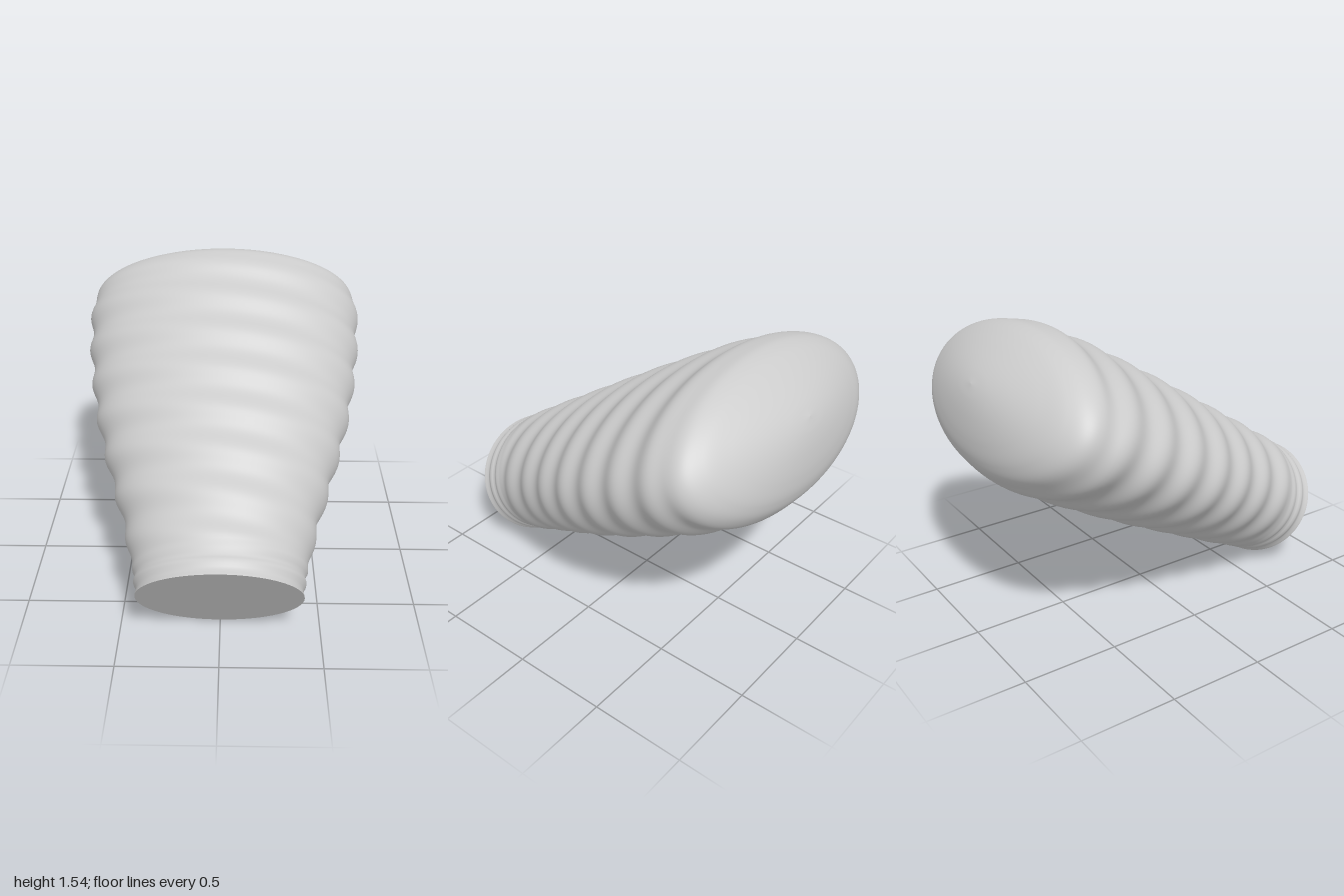
import * as THREE from 'three';

const SIDES = 96, ROWS = 240;

export function createModel() {
  const group = new THREE.Group();
  group.name = 'rippledVessel';
  const grey = new THREE.MeshStandardMaterial({ color: 0xcccccc });
  grey.name = 'light grey';

  // distance along the axis, half width, half thickness
  const profile = new THREE.CatmullRomCurve3([
    [0, 0.408, 0.325], [0.25, 0.45, 0.334], [0.5, 0.52, 0.346], [0.75, 0.595, 0.358],
    [1.0, 0.66, 0.37], [1.25, 0.705, 0.379], [1.5, 0.735, 0.384], [1.7, 0.742, 0.386],
    [1.8, 0.735, 0.38], [1.87, 0.70, 0.358], [1.925, 0.62, 0.315], [1.975, 0.48, 0.245],
    [2.02, 0.3, 0.15], [2.045, 0.14, 0.07], [2.055, 0.001, 0.001],
  ].map(p => new THREE.Vector3(...p)), false, 'centripetal');

  const smooth = THREE.MathUtils.smoothstep;
  const tilt = 31 * Math.PI / 180, c = Math.cos(tilt), n = Math.sin(tilt);

  // one point on the skin of the tilted body
  function skin(row, side) {
    const { x: s, y: w, z: t } = profile.getPoint(row / ROWS);
    const a = side / SIDES * Math.PI * 2;
    const spiral = 0.011 * Math.sin(s / 0.23 * Math.PI * 2 - 2 * a)
      * smooth(s, 0.1, 0.25) * (1 - smooth(s, 1.7, 1.9));
    const rings = -0.012 * Math.sin(s / 0.07 * Math.PI) ** 2 * (1 - smooth(s, 0.1, 0.2));
    const r = spiral + rings;
    const x = Math.cos(a) * (w + r), v = Math.sin(a) * (t + r);
    const d = s - 0.046 * v * (1 - smooth(s, 0, 0.5)); // base cut slightly askew
    return [x, 0.27 + n * d + c * v, 0.82 - c * d + n * v];
  }

  function build(name, positions, index) {
    const geo = new THREE.BufferGeometry();
    geo.setAttribute('position', new THREE.Float32BufferAttribute(positions, 3));
    geo.setIndex(index);
    geo.computeVertexNormals();
    const mesh = new THREE.Mesh(geo, grey);
    mesh.name = name;
    group.add(mesh);
  }

  // rippled body with rounded end
  const pos = [], idx = [];
  for (let i = 0; i <= ROWS; i++) {
    for (let j = 0; j < SIDES; j++) {
      pos.push(...skin(i, j));
      if (i === ROWS) continue;
      const k = (j + 1) % SIDES, a = i * SIDES + j, b = i * SIDES + k;
      idx.push(a, a + SIDES, b, b, a + SIDES, b + SIDES);
    }
  }
  build('body', pos, idx);

  // flat base disc
  const disc = [0, 0.27, 0.82], fan = [];
  for (let j = 0; j < SIDES; j++) {
    disc.push(...skin(0, j));
    fan.push(0, j + 1, (j + 1) % SIDES + 1);
  }
  build('base', disc, fan);

  return group;
}
